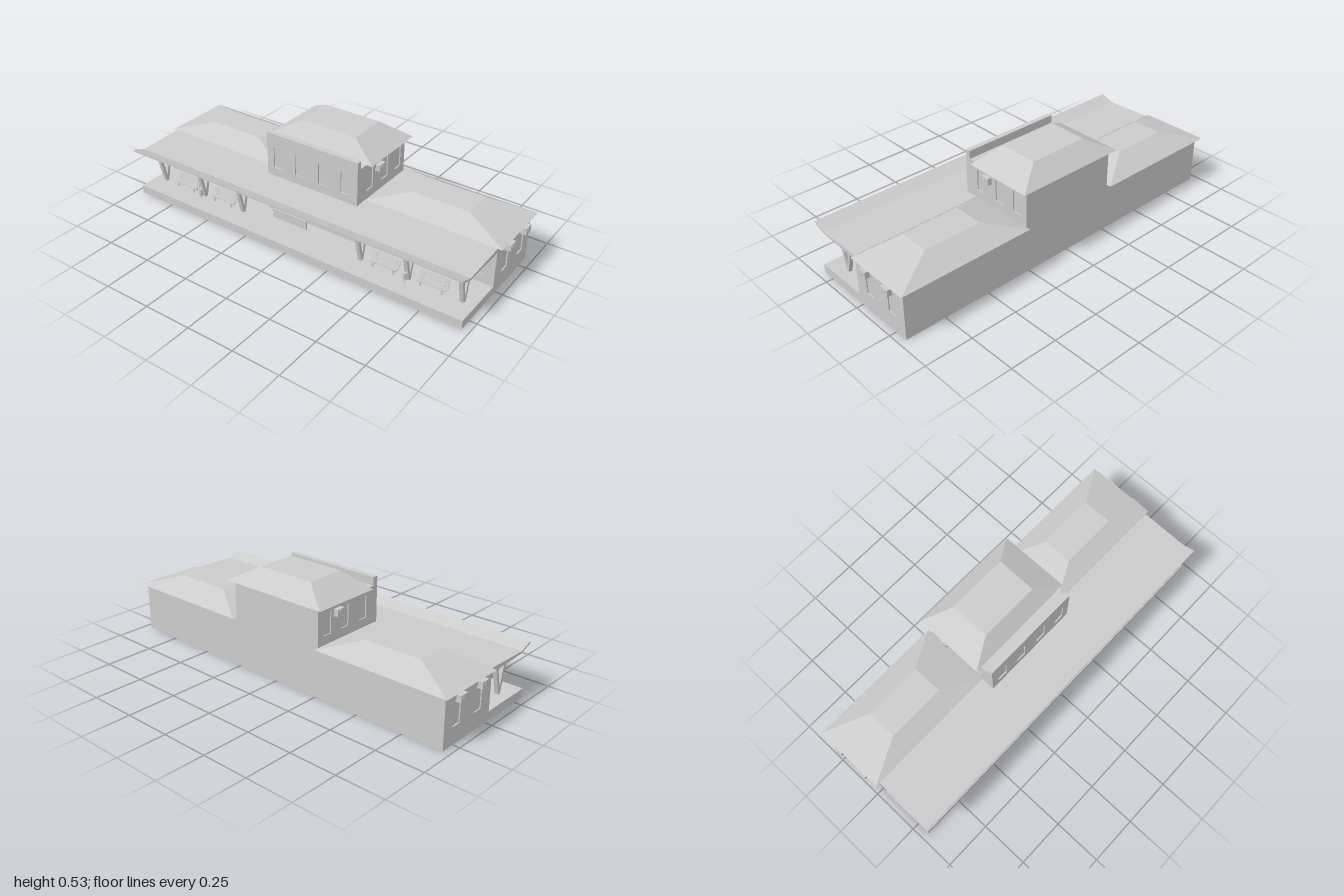
import * as THREE from 'three';
import { ConvexGeometry } from 'three/addons/geometries/ConvexGeometry.js';

const D = 0.006; // wall thickness in front of the recessed windows
const mat = new THREE.MeshStandardMaterial({ color: 0xcccccc, side: THREE.DoubleSide });

export function createModel() {
  const root = new THREE.Group();

  function add(name, geo, parent = root) {
    const m = new THREE.Mesh(geo, mat);
    m.name = name;
    parent.add(m);
    return m;
  }
  // box given by its limits on each axis
  function box(name, x0, x1, y0, y1, z0, z1, parent) {
    const m = add(name, new THREE.BoxGeometry(x1 - x0, y1 - y0, z1 - z0), parent);
    m.position.set((x0 + x1) / 2, (y0 + y1) / 2, (z0 + z1) / 2);
    return m;
  }
  function polygon(pts) {
    return new THREE.Shape(pts.map(([x, y]) => new THREE.Vector2(x, y)));
  }
  function rect(x0, x1, y0, y1) {
    return [[x0, y0], [x1, y0], [x1, y1], [x0, y1]];
  }
  // outline in x and y, extruded along z from z0 to z1
  function prism(name, pts, z0, z1, holes = [], parent = root) {
    const s = polygon(pts);
    holes.forEach(h => s.holes.push(polygon(rect(...h))));
    const m = add(name, new THREE.ExtrudeGeometry(s, { depth: z1 - z0, bevelEnabled: false }), parent);
    m.position.z = z0;
    return m;
  }
  // wall with openings that faces the platform; a0 and a1 are limits along z
  function sideWall(name, x, a0, a1, y0, y1, holes) {
    const m = prism(name, rect(a0, a1, y0, y1), 0, D, holes);
    m.rotation.y = -Math.PI / 2;
    m.position.set(x + D, 0, 0);
  }
  // wall with openings across the end of a block
  function endWall(name, x0, x1, y0, y1, z, s, holes) {
    prism(name, rect(x0, x1, y0, y1), s > 0 ? z - D : -z, s > 0 ? z : -z + D, holes);
  }
  // hipped roof with a flat top
  function hipRoof(name, [x0, x1, z0, z1], y0, [a0, a1, c0, c1], y1) {
    const pts = [];
    for (const x of [x0, x1]) for (const z of [z0, z1]) pts.push(new THREE.Vector3(x, y0, z));
    for (const x of [a0, a1]) for (const z of [c0, c1]) pts.push(new THREE.Vector3(x, y1, z));
    add(name, new ConvexGeometry(pts));
  }
  // air conditioner on an end wall: case, fan and two brackets
  function airConditioner(x, y, z, s) {
    const g = new THREE.Group();
    g.name = 'airConditioner';
    box('case', -0.024, 0.024, 0, 0.034, 0.008, 0.032, g);
    const fan = add('fan', new THREE.CylinderGeometry(0.01, 0.01, 0.003, 6), g);
    fan.rotation.set(Math.PI / 2, Math.PI / 6, 0);
    fan.position.set(-0.003, 0.018, 0.033);
    for (const bx of [-0.015, 0.015]) {
      box('bracket', bx - 0.002, bx + 0.002, -0.004, 0, 0, 0.032, g);
      box('bracketPost', bx - 0.002, bx + 0.002, -0.007, 0.004, 0, 0.008, g);
    }
    g.position.set(x, y, z * s);
    if (s < 0) g.rotation.y = Math.PI;
    root.add(g);
  }

  // platform and blocks
  box('platform', -0.32, 0.32, 0, 0.045, -0.963, 0.963);
  box('tower', -0.1 + D, 0.32, 0.045, 0.445, -0.268 + D, 0.268 - D);
  box('parapet', -0.1, -0.073, 0.445, 0.488, -0.268, 0.268);

  // tower front: upper windows and doors below the canopy
  const towerOpenings = [];
  for (const z of [-0.2, -0.07, 0.07, 0.2]) {
    towerOpenings.push([z - 0.028, z + 0.028, 0.3, 0.412]);
    towerOpenings.push([z - 0.028, z + 0.028, 0.06, 0.18]);
  }
  sideWall('towerPlatformWall', -0.1, -0.268, 0.268, 0.045, 0.445, towerOpenings);
  hipRoof('towerRoof', [-0.03, 0.342, -0.3, 0.3], 0.447, [0.04, 0.25, -0.16, 0.16], 0.527);

  for (const s of [1, -1]) {
    const span = (a, b) => (s > 0 ? [a, b] : [-b, -a]);

    // tower end
    endWall('towerEndWall', -0.1, 0.32, 0.045, 0.445, 0.268, s,
      [[-0.02, 0.033, 0.3, 0.412], [0.11, 0.165, 0.3, 0.412], [0.23, 0.283, 0.3, 0.412]]);
    airConditioner(s > 0 ? 0.068 : 0.197, 0.385, 0.268, s);

    // low wing
    box('wing', -0.028 + D, 0.32, 0.045, 0.255, ...span(0.268, 0.963 - D));
    endWall('wingEndWall', -0.028, 0.32, 0.045, 0.255, 0.963, s,
      [[0.043, 0.097, 0.088, 0.2], [0.205, 0.257, 0.088, 0.2]]);
    sideWall('wingPlatformWall', -0.028, ...span(0.268, 0.963), 0.045, 0.255,
      [0.36, 0.49, 0.62, 0.75, 0.88].map(z => [s * z - 0.028, s * z + 0.028, 0.088, 0.2]));
    hipRoof('wingRoof', [-0.028, 0.345, ...span(0.268, 0.986)], 0.255,
      [0.067, 0.225, ...span(0.464, 0.769)], 0.325);
    for (const x of [0.068, 0.23]) airConditioner(x, 0.209, 0.963, s);

    // V-shaped canopy columns
    for (const z of [0.36, 0.62, 0.9]) {
      for (const d of [-1, 1]) {
        prism('canopyColumn', [[-0.2 - d * 0.008, 0.045], [-0.2 + d * 0.008, 0.045],
          [-0.2 + d * 0.053, 0.238], [-0.2 + d * 0.037, 0.238]], s * z - 0.01, s * z + 0.01);
      }
    }

    // slanted braces from the tower to the canopy
    prism('canopyBrace', [[-0.1, 0.178], [-0.1, 0.197], [-0.2, 0.238], [-0.237, 0.238]],
      s * 0.22 - 0.01, s * 0.22 + 0.01);

    // benches facing the track
    for (const z of [0.49, 0.745]) {
      const bench = new THREE.Group();
      bench.name = 'bench';
      for (const x of [-0.211, -0.2, -0.189]) {
        box('seatSlat', x - 0.0045, x + 0.0045, 0.07, 0.074, -0.075, 0.075, bench);
      }
      for (const i of [0, 1]) {
        const slat = box('backSlat', -0.004, 0, 0, 0.014, -0.075, 0.075, bench);
        slat.position.set(-0.185 + i * 0.006, 0.085 + i * 0.018, 0);
        slat.rotation.z = -0.32;
      }
      for (const e of [-0.055, 0.055]) {
        box('benchLeg', -0.213, -0.209, 0.045, 0.07, e - 0.004, e + 0.004, bench);
        prism('backSupport', [[-0.192, 0.045], [-0.186, 0.045], [-0.184, 0.075],
          [-0.176, 0.11], [-0.18, 0.11], [-0.19, 0.075]], e - 0.004, e + 0.004, [], bench);
      }
      bench.position.z = s * z;
      root.add(bench);
    }

    // litter bin on a post
    const bin = new THREE.Group();
    bin.name = 'litterBin';
    box('binPost', -0.234, -0.23, 0.045, 0.066, -0.003, 0.003, bin);
    const can = add('binCan', new THREE.CylinderGeometry(0.01, 0.009, 0.036, 8), bin);
    can.position.set(-0.232, 0.082, 0);
    bin.position.z = s * 0.62;
    root.add(bin);
  }

  // long canopy with an upturned edge
  prism('canopy', [[-0.35, 0.275], [-0.35, 0.265], [-0.28, 0.239], [-0.1, 0.233], [-0.028, 0.233],
    [-0.028, 0.256], [-0.1, 0.254], [-0.28, 0.249]], -0.963, 0.963);

  // blank hanging board
  box('hangingBoard', -0.279, -0.272, 0.152, 0.199, -0.1, 0.1);

  return root;
}
